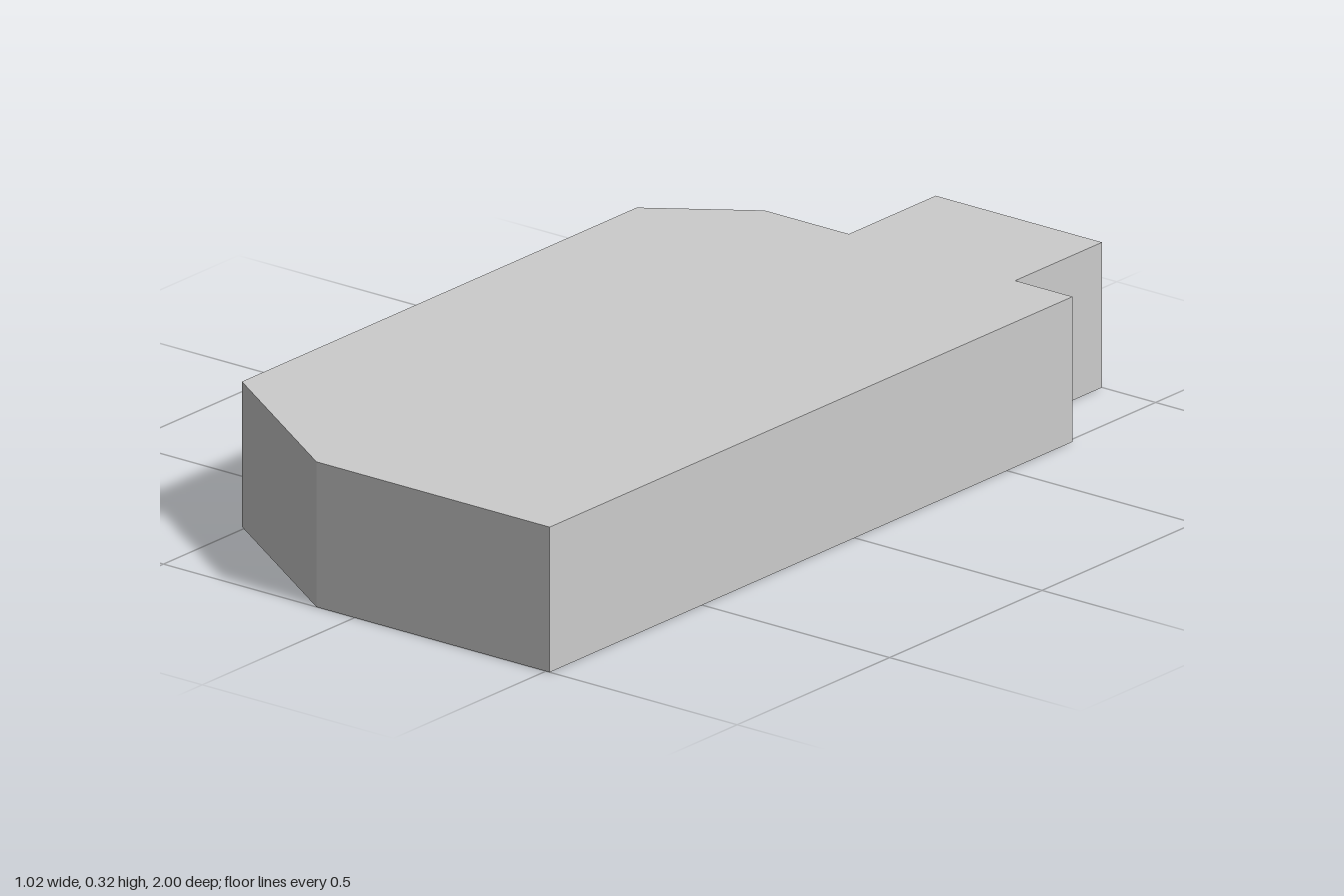
import * as THREE from 'three';

// Footprint corners as [x, z]: chamfered on the right side, with a tab at the back
const FOOTPRINT = [
  [-0.1, 1], [0.51, 1], [0.51, -0.715], [0.36, -0.715], [0.36, -1],
  [-0.075, -1], [-0.075, -0.715], [-0.295, -0.715], [-0.51, -0.565], [-0.51, 0.73],
];

const material = new THREE.MeshStandardMaterial({ color: 0xcccccc, flatShading: true });

// Upright slab with the footprint's outline between two heights
function slab(name, bottom, top) {
  const shape = new THREE.Shape(FOOTPRINT.map(([x, z]) => new THREE.Vector2(x, -z)));
  const geometry = new THREE.ExtrudeGeometry(shape, { depth: top - bottom, bevelEnabled: false });
  geometry.rotateX(-Math.PI / 2).translate(0, bottom, 0);
  const mesh = new THREE.Mesh(geometry, material);
  mesh.name = name;
  return mesh;
}

export function createModel() {
  const group = new THREE.Group();
  group.name = 'building';
  group.add(slab('walls', 0, 0.303), slab('roof', 0.303, 0.317));
  return group;
}
